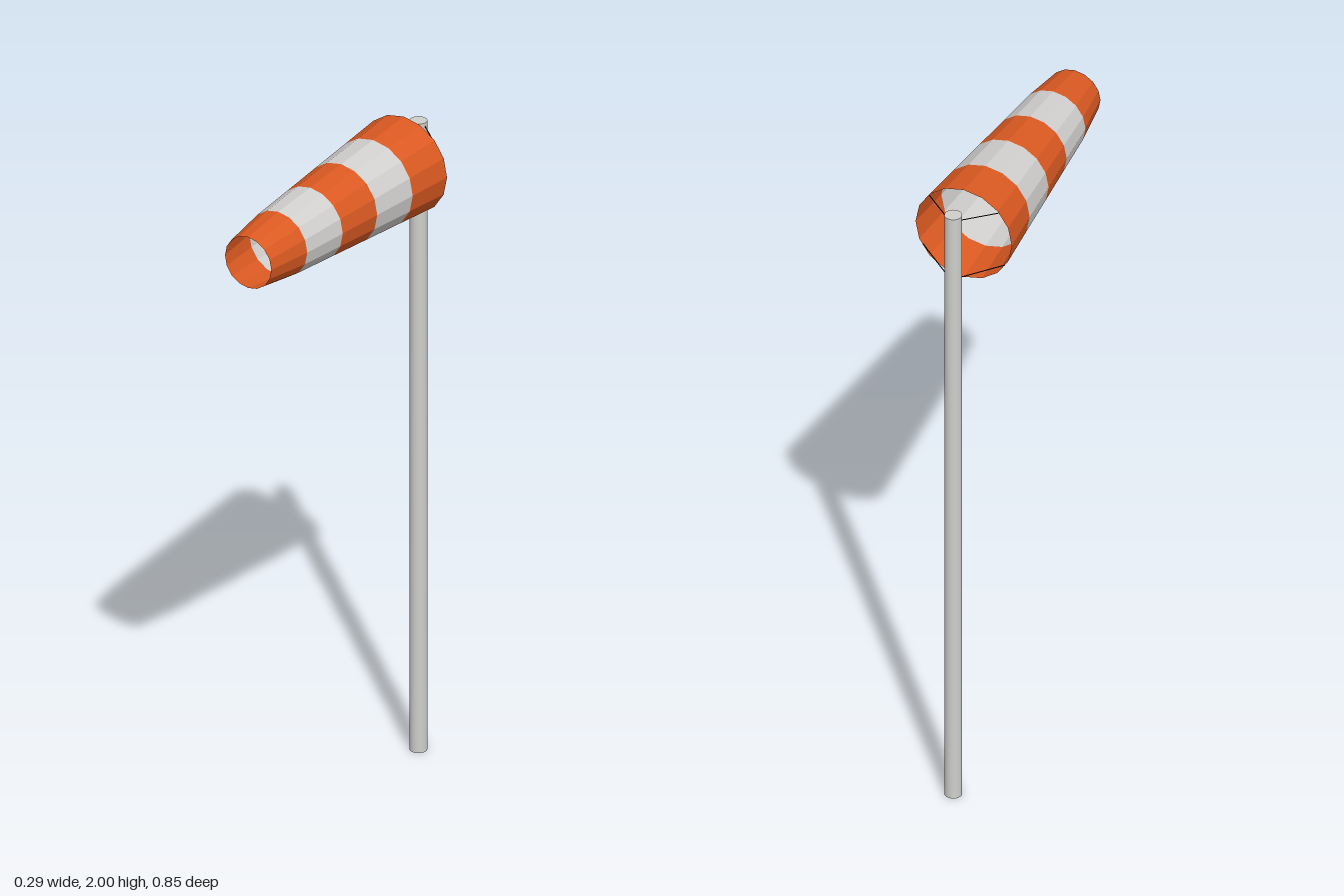
import * as THREE from 'three';

const paint = (name, color, extra = {}) => {
  const m = new THREE.MeshStandardMaterial({ color, ...extra });
  m.name = name;
  return m;
};

export function createModel() {
  const fabric = { flatShading: true, side: THREE.DoubleSide };
  const orange = paint('orange fabric', 0xdc5a22, fabric);
  const white = paint('white fabric', 0xd2d0ce, fabric);
  const metal = paint('pole grey', 0xcfcfcc);
  const black = paint('rope black', 0x141414);

  const model = new THREE.Group();
  model.name = 'windsock';
  const add = (name, geometry, material, parent = model) => {
    const mesh = new THREE.Mesh(geometry, material);
    mesh.name = name;
    parent.add(mesh);
    return mesh;
  };

  // Pole behind the mouth of the sock
  const poleZ = -0.4, poleR = 0.025, poleH = 1.96;
  add('pole', new THREE.CylinderGeometry(poleR, poleR, poleH, 24), metal)
    .position.set(0, poleH / 2, poleZ);

  // Open tapering sock in striped bands: [z, radius] from mouth to tail
  const sockY = 1.853;
  const rings = [[-0.33, 0.147], [-0.182, 0.135], [-0.028, 0.123], [0.121, 0.111], [0.275, 0.099], [0.42, 0.079]];
  const sock = new THREE.Group();
  sock.name = 'sock';
  sock.position.y = sockY;
  model.add(sock);
  for (let i = 0; i < rings.length - 1; i++) {
    const [z0, r0] = rings[i], [z1, r1] = rings[i + 1];
    const band = new THREE.CylinderGeometry(r1, r0, z1 - z0, 16, 1, true);
    band.rotateX(Math.PI / 2).translate(0, 0, (z0 + z1) / 2);
    add(`band${i + 1}`, band, i % 2 ? white : orange, sock);
  }

  // Four thin ropes from the pole to the rim
  for (const side of [1, -1]) {
    const ropes = [
      ['upperRope', 1.948, [0.105, 1.95]],
      ['lowerRope', 1.755, [0.125, 1.78]],
    ];
    for (const [name, y, [x, rimY]] of ropes) {
      const path = new THREE.LineCurve3(
        new THREE.Vector3(side * 0.022, y, poleZ),
        new THREE.Vector3(side * x, rimY, -0.328));
      add(name, new THREE.TubeGeometry(path, 1, 0.0015, 6), black);
    }
  }
  return model;
}
